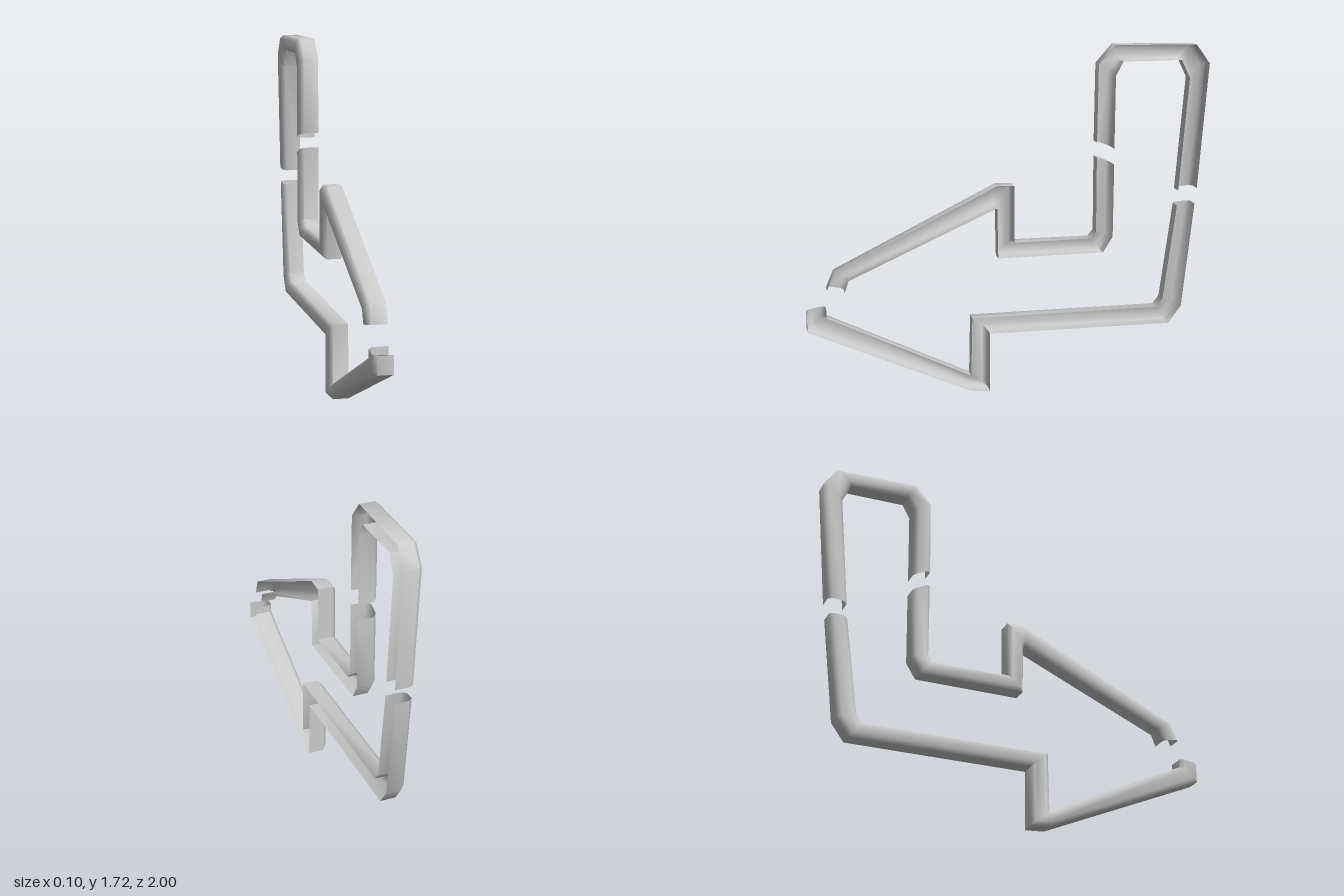
import * as THREE from 'three';
import { toCreasedNormals } from 'three/addons/utils/BufferGeometryUtils.js';

// Channel cross-section, open towards +x: [t from inner to outer edge, x]
const SECTION = [[0, 0.047], [0, -0.03], [0.22, -0.05], [0.78, -0.05], [1, -0.03], [1, 0.047]];

// Sweeps the section along mitred stations: [outer z, outer y, inner z, inner y]
function channel(name, stations, material) {
  const positions = [], index = [], n = SECTION.length;
  for (const [oz, oy, iz, iy] of stations) {
    for (const [t, x] of SECTION) positions.push(x, iy + (oy - iy) * t, iz + (oz - iz) * t);
  }
  for (let i = 0; i < stations.length - 1; i++) {
    for (let j = 0; j < n - 1; j++) {
      const a = i * n + j, b = a + 1, c = a + n, d = c + 1;
      index.push(a, b, c, b, d, c);
    }
  }
  const geometry = new THREE.BufferGeometry();
  geometry.setAttribute('position', new THREE.Float32BufferAttribute(positions, 3));
  geometry.setIndex(index);
  const mesh = new THREE.Mesh(toCreasedNormals(geometry, THREE.MathUtils.degToRad(55)), material);
  mesh.name = name;
  return mesh;
}

export function createModel() {
  const group = new THREE.Group();
  group.name = 'arrowOutline';
  const material = new THREE.MeshStandardMaterial({ color: 0xcccccc, side: THREE.DoubleSide });

  // Arched end of the shaft
  group.add(channel('shaftEnd', [
    [-0.436, 1.243, -0.524, 1.21],
    [-0.441, 1.628, -0.527, 1.57],
    [-0.521, 1.722, -0.564, 1.64],
    [-0.933, 1.716, -0.858, 1.642],
    [-1.0, 1.623, -0.901, 1.553],
    [-0.949, 1.0, -0.853, 0.99],
  ], material));

  // Lower shaft and lower half of the arrow head
  group.add(channel('lowerOutline', [
    [-0.939, 0.922, -0.848, 0.914],
    [-0.88, 0.398, -0.783, 0.436],
    [-0.816, 0.31, -0.751, 0.396],
    [0.099, 0.297, 0.187, 0.38],
    [0.099, 0.0, 0.193, 0.09],
    [0.195, 0.005, 0.197, 0.086],
    [1.0, 0.345, 0.906, 0.412],
    [1.0, 0.436, 0.906, 0.452],
  ], material));

  // Upper half of the arrow head and the inner bend of the shaft
  group.add(channel('upperOutline', [
    [0.901, 0.551, 0.815, 0.537],
    [0.864, 0.639, 0.794, 0.596],
    [0.061, 1.043, 0.065, 0.93],
    [-0.024, 1.04, 0.061, 0.926],
    [-0.024, 0.757, 0.056, 0.679],
    [-0.409, 0.762, -0.473, 0.69],
    [-0.436, 0.794, -0.521, 0.767],
    [-0.436, 1.168, -0.524, 1.131],
  ], material));

  return group;
}
